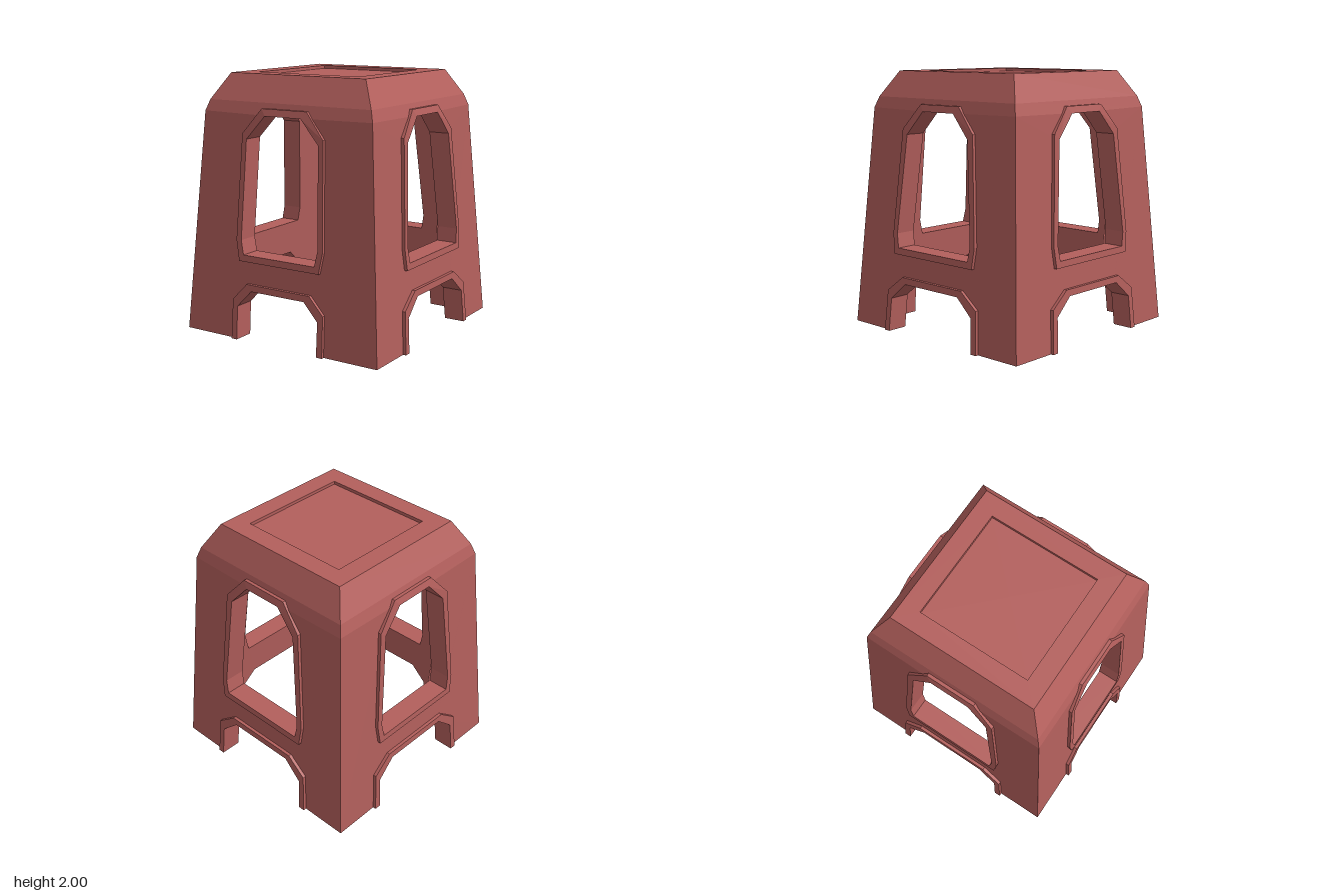
import * as THREE from 'three';

const WALL = 0.14; // wall thickness
const RIM = 0.025; // how far the rims stand proud
const PANEL_TOP = 1.715;

// Half-width of the tapered body at each height
const PROFILE = [[0, 0.865], [1.7, 0.748], [1.8, 0.715], [2, 0.6]];
function halfWidth(y) {
  for (let i = 1; i < PROFILE.length; i++) {
    const [y0, w0] = PROFILE[i - 1], [y1, w1] = PROFILE[i];
    if (y <= y1) return w0 + (w1 - w0) * (y - y0) / (y1 - y0);
  }
  return 0.6;
}

// Right-hand halves of the openings, bottom to top: [u, y]
const NARROW = {
  window: [[0.32, 0.66], [0.345, 0.77], [0.32, 1.53], [0.16, 1.708]],
  windowRim: [[0.36, 0.61], [0.39, 0.77], [0.36, 1.57], [0.2, 1.76]],
  arch: [[0.365, 0], [0.365, 0.26], [0.24, 0.39]],
  archRim: [[0.415, 0], [0.41, 0.31], [0.285, 0.44]],
};
const WIDE = {
  window: [[0.37, 0.66], [0.39, 0.77], [0.32, 1.53], [0.16, 1.708]],
  windowRim: [[0.415, 0.61], [0.435, 0.77], [0.37, 1.57], [0.2, 1.76]],
  arch: [[0.445, 0], [0.43, 0.26], [0.28, 0.39]],
  archRim: [[0.495, 0], [0.475, 0.32], [0.315, 0.44]],
};

// Mirror a half outline: up the right side, then down the left
const mirror = (half) => [...half, ...half.map(([u, y]) => [-u, y]).reverse()];
const vectors = (points) => points.map(([u, y]) => new THREE.Vector2(u, y));

// Extrude a flat outline and lay it on the sloping wall between two depths
function wallPiece(outline, hole, inner, outer, mitred) {
  const shape = new THREE.Shape(vectors(outline));
  if (hole) shape.holes.push(new THREE.Path(vectors(hole)));
  const geometry = new THREE.ExtrudeGeometry(shape, { depth: 1, bevelEnabled: false });
  const p = geometry.attributes.position;
  for (let i = 0; i < p.count; i++) {
    const x = p.getX(i), y = p.getY(i);
    const depth = p.getZ(i) > 0.5 ? outer : inner;
    const reach = halfWidth(y) + depth;
    // Corner edges follow the mitre between neighbouring walls
    const u = mitred && Math.abs(x) > 0.6 ? Math.sign(x) * reach : x;
    p.setXYZ(i, u, y, reach);
  }
  geometry.computeVertexNormals();
  return geometry;
}

export function createModel() {
  const stool = new THREE.Group();
  stool.name = 'stool';
  const plastic = new THREE.MeshStandardMaterial({ color: 0xb35f5c });
  plastic.name = 'red plastic';

  const add = (parent, name, geometry) => {
    const mesh = new THREE.Mesh(geometry, plastic);
    mesh.name = name;
    parent.add(mesh);
  };

  // Four walls, the front one with narrower openings
  ['front', 'left', 'back', 'right'].forEach((side, i) => {
    const o = side === 'front' ? NARROW : WIDE;
    const wall = new THREE.Group();
    wall.name = side + 'Wall';
    wall.rotation.y = i * Math.PI / 2;

    const body = [
      [halfWidth(0), 0], [halfWidth(PANEL_TOP), PANEL_TOP],
      [-halfWidth(PANEL_TOP), PANEL_TOP], [-halfWidth(0), 0],
      ...mirror(o.arch).reverse(),
    ];
    add(wall, side + 'Panel', wallPiece(body, mirror(o.window), -WALL, 0, true));
    add(wall, side + 'WindowRim',
      wallPiece(mirror(o.windowRim), mirror(o.window), -0.01, RIM, false));
    add(wall, side + 'ArchRim',
      wallPiece([...mirror(o.archRim), ...mirror(o.arch).reverse()], null, -0.01, RIM, false));
    stool.add(wall);
  });

  // Square seat with sloped shoulders, a shallow recess and a hollow underside
  const seatProfile = [
    [0, 1.86], [0.54, 1.86], [halfWidth(PANEL_TOP) - WALL, PANEL_TOP],
    [halfWidth(PANEL_TOP), PANEL_TOP], [0.715, 1.8], [0.6, 2],
    [0.45, 2], [0.45, 1.975], [0, 1.975],
  ].map(([w, y]) => new THREE.Vector2(w * Math.SQRT2, y));
  const seat = new THREE.LatheGeometry(seatProfile, 4).rotateY(Math.PI / 4).toNonIndexed();
  seat.computeVertexNormals();
  add(stool, 'seat', seat);

  return stool;
}
